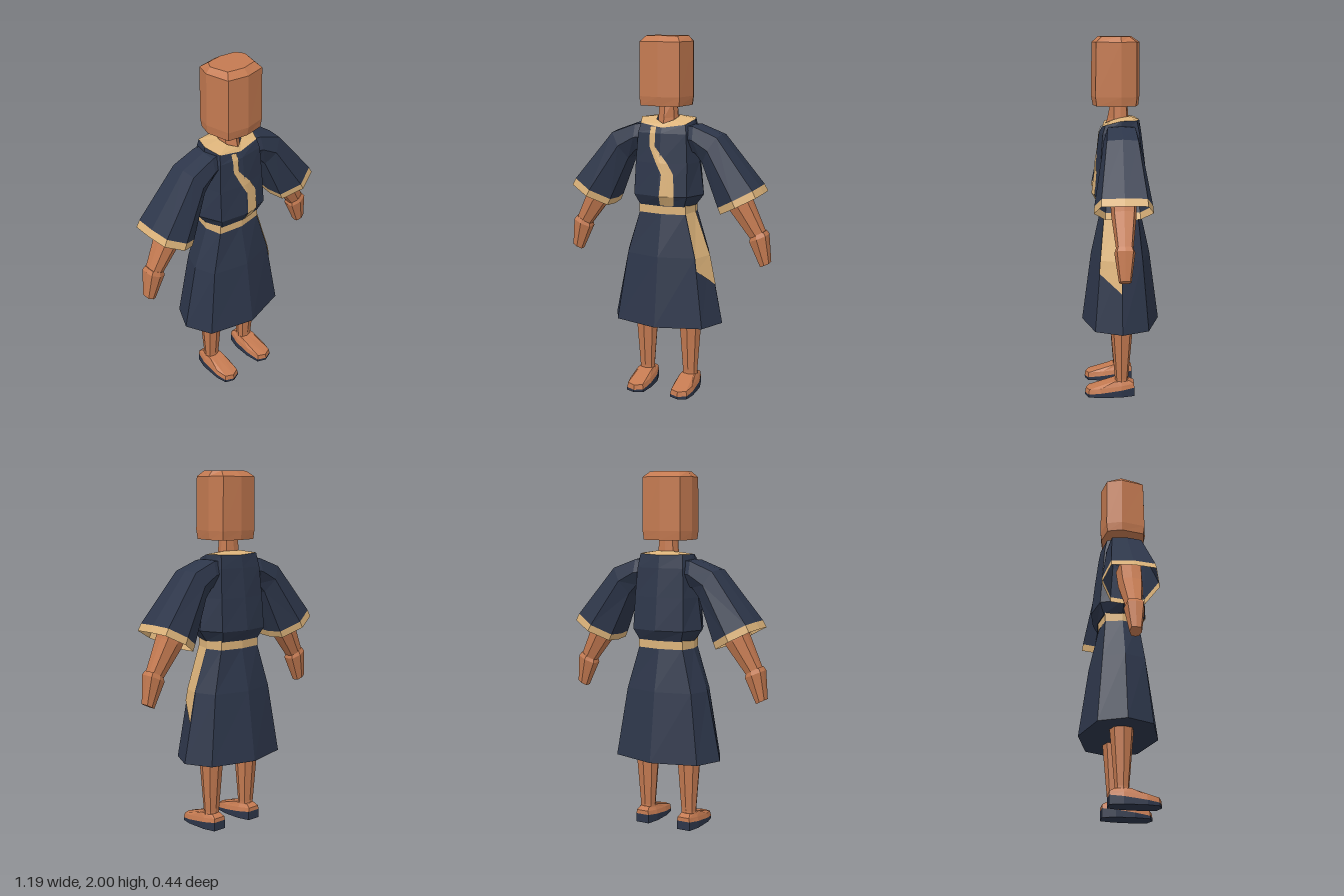
import * as THREE from 'three';

const mat = (name, color) => new THREE.MeshStandardMaterial({ name, color, flatShading: true, side: THREE.DoubleSide });
const V = (x, y, z) => new THREE.Vector3(x, y, z);
const lerp = THREE.MathUtils.lerp;

// Skin a list of point rings; optional fan caps; faces are turned outward.
function loft(rings, { capStart = false, capEnd = false, closed = true } = {}) {
  const tris = [];
  const n = rings[0].length;
  for (let r = 0; r < rings.length - 1; r++) {
    for (let i = 0; i < (closed ? n : n - 1); i++) {
      const j = (i + 1) % n, a = rings[r], b = rings[r + 1];
      tris.push([a[i], a[j], b[j]], [a[i], b[j], b[i]]);
    }
  }
  const cap = (ring, flip) => {
    const c = ring.reduce((s, p) => s.add(p), V(0, 0, 0)).divideScalar(n);
    ring.forEach((p, i) => {
      const q = ring[(i + 1) % n];
      tris.push(flip ? [q, p, c] : [p, q, c]);
    });
  };
  if (capStart) cap(rings[0], true);
  if (capEnd) cap(rings[rings.length - 1], false);
  const mid = V(0, 0, 0);
  rings.flat().forEach(p => mid.add(p));
  mid.divideScalar(rings.length * n);
  let volume = 0;
  for (const [a, b, c] of tris) {
    volume += a.clone().sub(mid).dot(b.clone().sub(mid).cross(c.clone().sub(mid)));
  }
  if (volume < 0 && closed) tris.forEach(t => t.reverse());
  const g = new THREE.BufferGeometry().setFromPoints(tris.flat());
  g.computeVertexNormals();
  return g;
}

// Eight-sided body section: side x, corner x, front z, front corner z, back z, back corner z.
// y may be one height or [front, front corner, side, back corner, back].
function section(y, xs, xc, zf, zfc, zb = -zf, zbc = -zfc) {
  const h = Array.isArray(y) ? y : [y, y, y, y, y];
  return [V(0, h[0], zf), V(xc, h[1], zfc), V(xs, h[2], 0), V(xc, h[3], zbc),
    V(0, h[4], zb), V(-xc, h[3], zbc), V(-xs, h[2], 0), V(-xc, h[1], zfc)];
}

// Limb section running from its outer point to its inner point, zr deep.
const limbProfile = [[0, 0], [0.04, 0.77], [0.5, 1], [0.96, 0.6], [1, 0], [0.96, -0.6], [0.5, -1], [0.04, -0.77]];
const limbRing = (side, [ox, oy, ix, iy, zr]) =>
  limbProfile.map(([t, z]) => V(side * lerp(ox, ix, t), lerp(oy, iy, t), z * zr));

export function createModel() {
  const model = new THREE.Group();
  const skin = mat('skin', 0xc47a51);
  const navy = mat('navy cloth', 0x2d364a);
  const gold = mat('gold trim', 0xdcb37a);
  const add = (name, geometry, material, parent = model) => {
    const m = new THREE.Mesh(geometry, material);
    m.name = name;
    parent.add(m);
    return m;
  };

  // Head and neck
  add('head', loft([
    section(1.63, 0.138, 0.112, 0.15, 0.13, -0.1, -0.08),
    section(1.68, 0.145, 0.116, 0.16, 0.137, -0.106, -0.086),
    section(1.97, 0.143, 0.114, 0.155, 0.132, -0.105, -0.085),
    section(2.0, 0.117, 0.09, 0.12, 0.1, -0.06, -0.045),
  ], { capStart: true, capEnd: true }), skin);
  add('neck', loft([
    section(1.48, 0.062, 0.05, 0.09, 0.05, -0.05, -0.04),
    section(1.56, 0.056, 0.046, 0.07, 0.035, -0.045, -0.035),
    section(1.65, 0.048, 0.04, 0.052, 0.035, -0.04, -0.03),
  ]), skin);

  // Tunic top with its collar
  const rim = section([1.51, 1.53, 1.555, 1.555, 1.55], 0.16, 0.13, 0.1, 0.085, -0.105, -0.085);
  add('collar', loft([rim,
    section([1.53, 1.55, 1.565, 1.57, 1.57], 0.062, 0.05, 0.082, 0.05, -0.05, -0.04)]), gold);
  const torsoRows = [
    [1.08, 0.165, 0.13, 0.12, 0.1],
    [1.14, 0.21, 0.155, 0.156, 0.125],
    [1.32, 0.185, 0.15, 0.137, 0.112],
    [1.48, 0.165, 0.14, 0.117, 0.1],
  ];
  add('torso', loft([...torsoRows.map(r => section(...r)), rim], { capStart: true }), navy);

  // Winding stripe laid on the chest
  const chestRows = [...torsoRows, [1.52, 0.16, 0.13, 0.1, 0.085]];
  const chestZ = (x, y) => {
    let k = 0;
    while (k < chestRows.length - 2 && y > chestRows[k + 1][0]) k++;
    const a = chestRows[k], b = chestRows[k + 1];
    const t = (y - a[0]) / (b[0] - a[0]);
    return lerp(lerp(a[3], b[3], t), lerp(a[4], b[4], t), Math.abs(x) / lerp(a[2], b[2], t));
  };
  const stripe = [[1.085, 0, 0.075], [1.14, 0.005, 0.085], [1.26, 0.013, 0.08], [1.32, -0.02, 0.045],
    [1.41, -0.065, -0.032], [1.48, -0.065, -0.032], [1.515, -0.065, -0.032]];
  add('chestStripe', loft(stripe.map(([y, x0, x1]) => [0, 0.2, 0.4, 0.6, 0.8, 1].map(t => {
    const x = lerp(x0, x1, t);
    return V(x, y, chestZ(x, y) + 0.005);
  })), { closed: false }), gold);

  // Belt and skirt
  add('belt', loft([section(1.035, 0.16, 0.137, 0.116, 0.094),
    section(1.095, 0.16, 0.137, 0.116, 0.094)]), gold);
  const skirtRows = [
    [0.41, 0.325, 0.255, 0.218, 0.147],
    [0.8, 0.245, 0.2, 0.165, 0.115],
    [1.04, 0.158, 0.135, 0.112, 0.092],
  ];
  add('skirt', loft(skirtRows.map(r => section(...r)), { capStart: true, capEnd: true }), navy);

  // Gold panel on the left front of the skirt
  const skirtAt = (y, corner) => {
    const k = y < 0.8 ? 0 : 1, a = skirtRows[k], b = skirtRows[k + 1];
    const t = (y - a[0]) / (b[0] - a[0]);
    const x = corner ? lerp(a[2], b[2], t) : lerp(a[1], b[1], t);
    return V(x + 0.004, y, (corner ? lerp(a[4], b[4], t) : 0) + 0.002);
  };
  add('skirtPanel', loft([[0.73, 0.63], [0.8, 0.8], [1.04, 1.04]].map(([c, s]) =>
    [skirtAt(c, true), skirtAt(s, false)]), { closed: false }), gold);

  for (const side of [1, -1]) {
    const word = side > 0 ? 'left' : 'right';
    const limb = rows => rows.map(r => limbRing(side, r));

    // Arm: wide sleeve, cuff, forearm and hand
    const arm = new THREE.Group();
    arm.name = word + 'Arm';
    model.add(arm);
    const cuffTop = [0.53, 1.205, 0.312, 1.085, 0.152];
    add('sleeve', loft(limb([[0.1, 1.53, 0.12, 1.38, 0.08], [0.17, 1.527, 0.175, 1.37, 0.097],
      [0.31, 1.475, 0.215, 1.32, 0.107], cuffTop]), { capStart: true }), navy, arm);
    add('cuff', loft(limb([cuffTop, [0.55, 1.168, 0.328, 1.05, 0.155]])), gold, arm);
    add('forearm', loft(limb([[0.44, 1.25, 0.3, 1.18, 0.07], [0.48, 1.13, 0.37, 1.065, 0.066],
      [0.565, 0.95, 0.49, 0.91, 0.043]]), { capStart: true }), skin, arm);
    add('hand', loft(limb([[0.565, 0.965, 0.485, 0.925, 0.045], [0.58, 0.945, 0.48, 0.9, 0.054],
      [0.597, 0.79, 0.543, 0.762, 0.032]]), { capStart: true, capEnd: true }), skin, arm);

    // Leg, foot and shoe sole
    const leg = new THREE.Group();
    leg.name = word + 'Leg';
    model.add(leg);
    const shift = ring => ring.map(p => V(side * (p.x + 0.133), p.y, p.z));
    add('shin', loft([
      section(0.06, 0.046, 0.034, 0.036, 0.026, -0.042, -0.03),
      section(0.1, 0.044, 0.033, 0.036, 0.026, -0.04, -0.03),
      section(0.42, 0.068, 0.05, 0.062, 0.045, -0.068, -0.05),
    ].map(shift)), skin, leg);
    const outline = [[-0.04, -0.073], [0.04, -0.073], [0.06, 0], [0.063, 0.12],
      [0.05, 0.185], [0, 0.205], [-0.05, 0.185], [-0.063, 0.1], [-0.06, 0]];
    const foot = (heel, toe, s) => shift(outline.map(([x, z]) =>
      V(x * s, lerp(heel, toe, (z + 0.073) / 0.278), z * lerp(1, s, 0.2))));
    const welt = foot(0.05, 0.014, 1);
    add('sole', loft([foot(0, 0, 1), welt], { capStart: true }), navy, leg);
    add('foot', loft([welt, foot(0.072, 0.042, 0.9),
      shift(outline.map(([x, z]) => V(x * 0.7, 0.088, Math.max(-0.045, Math.min(0.04, z)))))],
      { capEnd: true }), skin, leg);
  }
  return model;
}
